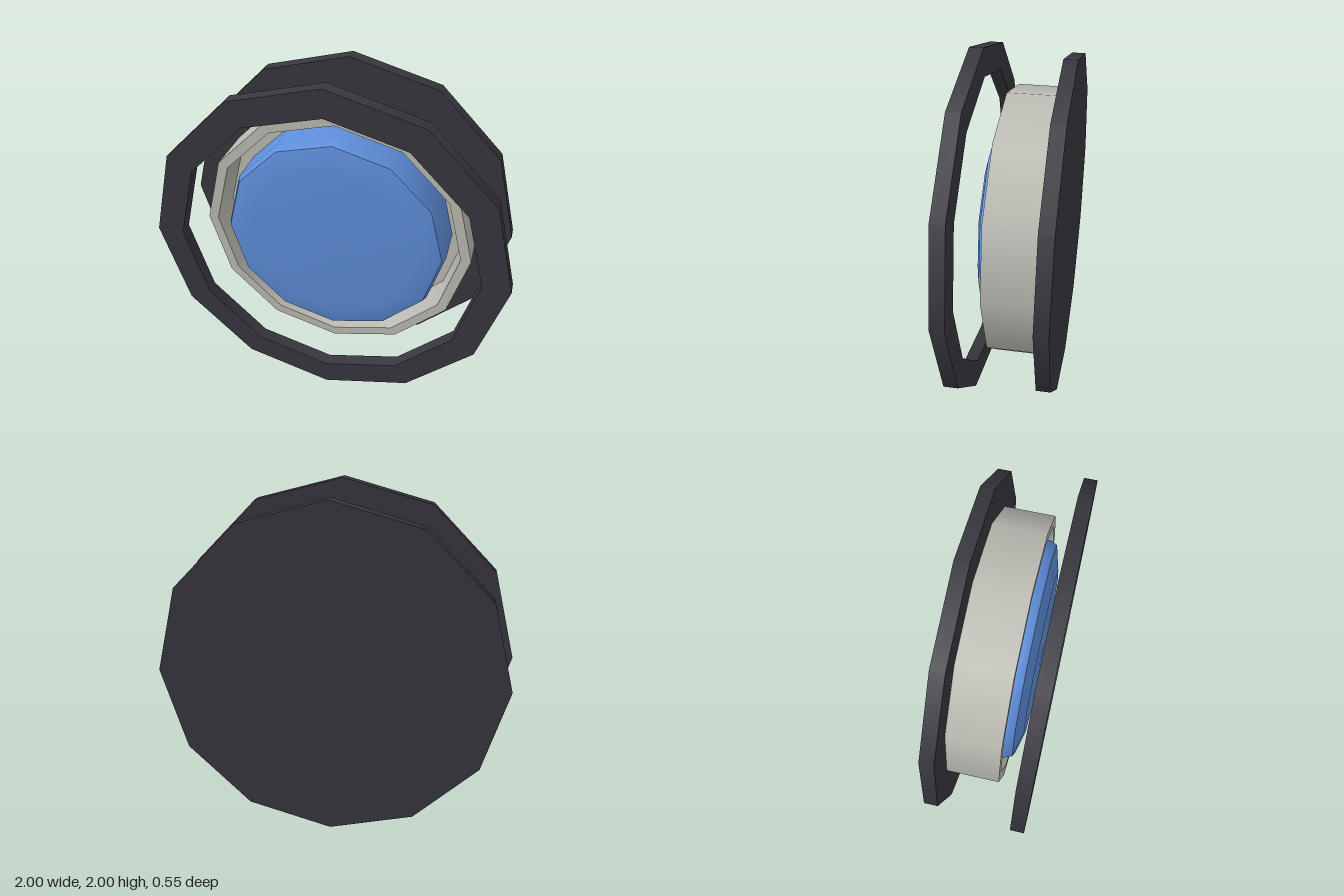
import * as THREE from 'three';

const SIDES = 12;

// Lathe around the z axis from [radius, z] points; a third value of 1 keeps that point smooth.
function turned(name, profile, material) {
  const points = [];
  for (const [r, z, smooth] of profile) {
    points.push(new THREE.Vector2(r, z));
    if (!smooth) points.push(new THREE.Vector2(r, z)); // doubled point = sharp edge
  }
  const geometry = new THREE.LatheGeometry(points, SIDES);
  geometry.rotateX(Math.PI / 2);
  const mesh = new THREE.Mesh(geometry, material);
  mesh.name = name;
  mesh.position.y = 1;
  return mesh;
}

function paint(name, color) {
  const material = new THREE.MeshStandardMaterial({ color });
  material.name = name;
  return material;
}

export function createModel() {
  const dark = paint('dark charcoal', 0x39373f);
  const grey = paint('warm grey', 0xbdbdb5);
  const blue = paint('lens blue', 0x5e8edb);

  const model = new THREE.Group();
  model.name = 'roundLamp';

  // Solid backing plate
  model.add(turned('backPlate', [[0, -0.275, 1], [0.963, -0.275], [0.963, -0.2], [0, -0.2, 1]], dark));

  // Open cup with a recessed floor
  model.add(turned('housing', [
    [0, -0.201, 1], [0.77, -0.201], [0.77, 0.087], [0.713, 0.087], [0.713, -0.13], [0, -0.13, 1],
  ], grey));

  // Lens with a bevelled rim and a shallow domed face
  model.add(turned('lens', [
    [0.635, -0.13, 1], [0.635, 0.085, 1], [0.617, 0.127], [0.48, 0.162, 1], [0, 0.164, 1],
  ], blue));

  // Free-standing front ring
  model.add(turned('frontRing', [
    [0.848, 0.2], [1, 0.2], [1, 0.275], [0.848, 0.275], [0.848, 0.2],
  ], dark));

  return model;
}
